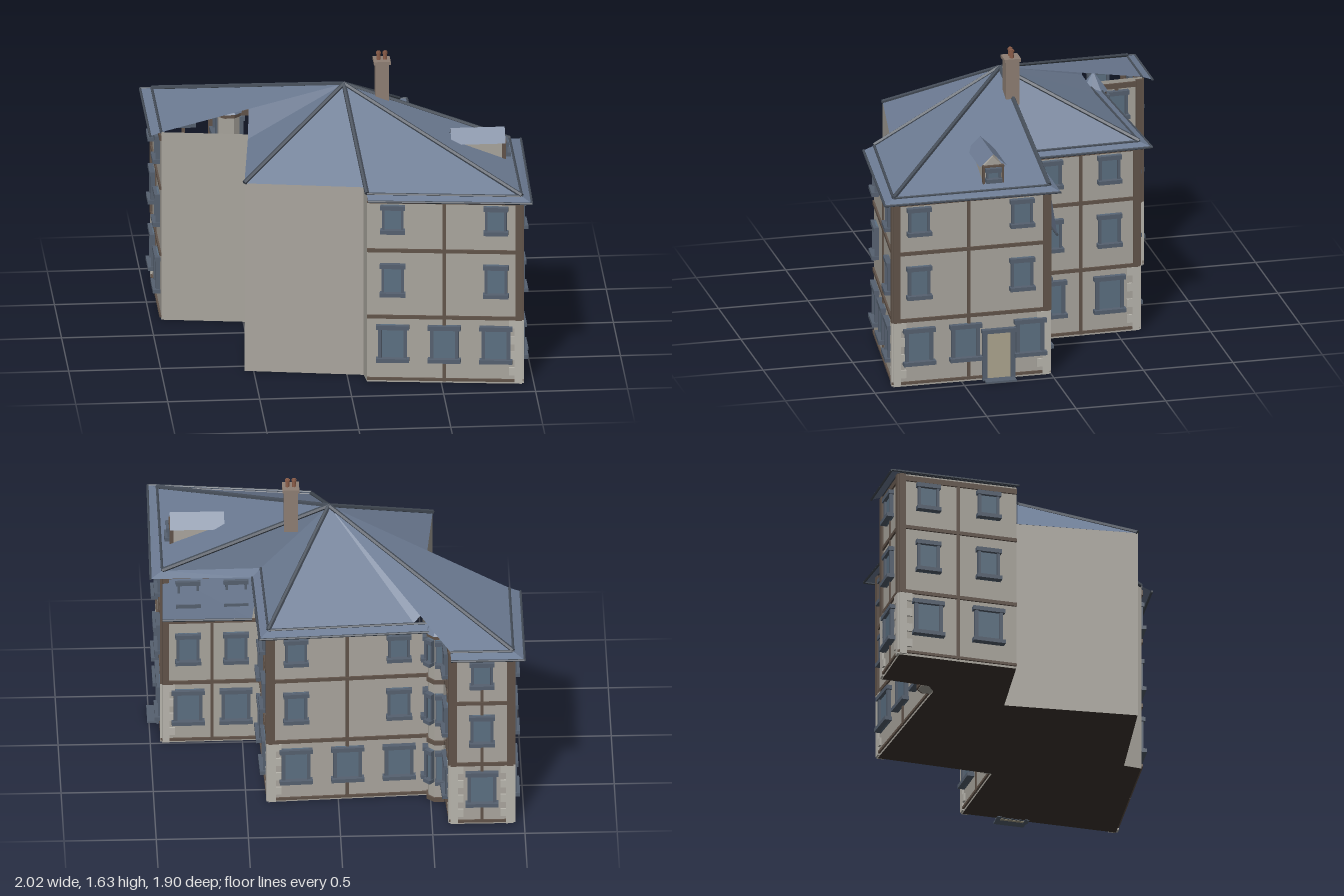
import * as THREE from 'three';

const mat = (color, extra = {}) => new THREE.MeshStandardMaterial({ color, flatShading: true, ...extra });
const M = {
  wall: mat(0xaaa69e),
  quoin: mat(0xb9b6ae),
  timber: mat(0x62544a),
  floor: mat(0x3e3630, { side: THREE.DoubleSide }),
  roof: mat(0x6d7c94, { side: THREE.DoubleSide }),
  trim: mat(0x454d58),
  frame: mat(0x566170),
  glass: mat(0x5c7082),
  door: mat(0xaea68f),
  brick: mat(0x8f7f74),
  pot: mat(0x8a5c48),
};

function add(parent, geo, material, name, x = 0, y = 0, z = 0) {
  const m = new THREE.Mesh(geo, material);
  m.name = name;
  m.position.set(x, y, z);
  parent.add(m);
  return m;
}
const box = (parent, material, name, w, h, d, x, y, z) =>
  add(parent, new THREE.BoxGeometry(w, h, d), material, name, x, y, z);

// flat polygon as a triangle fan
function panel(parent, name, pts, material) {
  const v = [];
  for (let i = 1; i < pts.length - 1; i++) v.push(...pts[0], ...pts[i], ...pts[i + 1]);
  const g = new THREE.BufferGeometry();
  g.setAttribute('position', new THREE.Float32BufferAttribute(v, 3));
  g.computeVertexNormals();
  return add(parent, g, material, name);
}

// thin rod between two points
function rod(parent, name, a, b, r, material = M.trim) {
  const p = new THREE.Vector3(...a), q = new THREE.Vector3(...b), d = q.clone().sub(p);
  const m = add(parent, new THREE.CylinderGeometry(r, r, d.length(), 6), material, name);
  m.position.copy(p).add(q).multiplyScalar(0.5);
  m.quaternion.setFromUnitVectors(new THREE.Vector3(0, 1, 0), d.normalize());
}

// framed window with lintel and sill, base at y0, wall plane at z = 0
function windowUnit(parent, x, y0, w, h) {
  const g = new THREE.Group();
  g.name = 'window';
  g.position.set(x, y0, 0);
  parent.add(g);
  box(g, M.glass, 'glass', w * 0.84, h, 0.014, 0, h / 2, 0.004);
  for (const s of [-1, 1]) box(g, M.frame, 'jamb', w * 0.12, h, 0.045, s * w * 0.43, h / 2, 0);
  box(g, M.frame, 'lintel', w * 1.12, 0.024, 0.06, 0, h - 0.012, 0);
  box(g, M.frame, 'sill', w * 1.12, 0.022, 0.08, 0, 0.011, 0);
}

const TOP = 1.09;
// timbered wall from p to q (outside on the right hand), u = window centres along the wall
function facade(root, name, p, q, { ground, upper, posts = [], quoins = [1, 1] }) {
  const dx = q[0] - p[0], dz = q[1] - p[1], L = Math.hypot(dx, dz);
  const g = new THREE.Group();
  g.name = name;
  g.position.set(p[0], 0, p[1]);
  g.rotation.y = Math.atan2(-dz, dx);
  root.add(g);
  for (const [y, h] of [[0.02, 0.015], [0.38, 0.02], [0.765, 0.02], [1.055, 0.03]])
    box(g, M.timber, 'beam', L, h, 0.02, L / 2, y, 0);
  for (const u of posts) box(g, M.timber, 'post', 0.018, 1.05, 0.016, u, 0.535, 0);
  for (const u of ground) windowUnit(g, u, 0.125, 0.16, 0.21);
  for (const u of upper) {
    windowUnit(g, u, 0.505, 0.125, 0.185);
    windowUnit(g, u, 0.87, 0.12, 0.16);
  }
  // corner posts above alternating corner stones
  quoins.forEach((on, end) => {
    if (!on) return;
    const s = end ? -1 : 1, x0 = end ? L : 0;
    box(g, M.timber, 'cornerPost', 0.035, 0.71, 0.024, x0 + s * 0.0175, 0.725, 0);
    for (let i = 0; i < 8; i++) {
      const w = i % 2 ? 0.07 : 0.04;
      box(g, M.quoin, 'cornerStone', w, 0.0455, 0.022, x0 + s * w / 2, 0.028 + i * 0.0455, 0);
    }
  });
  return g;
}

export function createModel() {
  const root = new THREE.Group();
  root.name = 'house';

  // footprint corners [x, z], anticlockwise from above
  const A = [-0.94, -0.23], B = [-0.47, -0.16], C = [-0.55, 0.57], D = [0.09, 0.68], E = [0.1, 0.78],
    F = [0.935, 0.88], G = [0.935, 0.01], H = [0.4, 0.02], I = [0.38, -0.63], J = [-0.53, -0.58],
    K = [-0.585, -0.62], L = [-0.6, -0.89], N = [-0.94, -0.89];
  const plan = [A, B, C, D, E, F, G, H, I, J, K, L, N];
  const at = (p, y = TOP) => [p[0], y, p[1]];

  const walls = new THREE.Group();
  walls.name = 'walls';
  root.add(walls);
  plan.forEach((p, i) => {
    const q = plan[(i + 1) % plan.length];
    panel(walls, 'wall', [at(p, 0), at(q, 0), at(q), at(p)], M.wall);
  });
  const base = new THREE.ShapeGeometry(new THREE.Shape(plan.map(([x, z]) => new THREE.Vector2(x, z))));
  add(root, base.rotateX(Math.PI / 2), M.floor, 'floor', 0, 0.004, 0);

  facade(root, 'frontFacade', E, F, { ground: [0.14, 0.42, 0.7], upper: [0.14, 0.7], posts: [0.42], quoins: [0, 1] });
  const side = facade(root, 'doorFacade', F, G, { ground: [0.14, 0.4, 0.76], upper: [0.14, 0.715], posts: [0.42] });
  facade(root, 'innerFacade', G, H, { ground: [0.14, 0.4], upper: [0.14, 0.4], posts: [0.27], quoins: [1, 0] });
  facade(root, 'courtFacade', H, I, { ground: [0.15, 0.48], upper: [0.15, 0.48], posts: [0.32] });
  facade(root, 'backFacade', I, J, { ground: [0.15, 0.43, 0.71], upper: [0.15, 0.71], posts: [0.43], quoins: [1, 0] });
  facade(root, 'wingInnerFacade', K, L, { ground: [0.125], upper: [0.125], posts: [0.125], quoins: [0, 1] });
  facade(root, 'wingBackFacade', L, N, { ground: [0.17], upper: [0.17], posts: [0.17] });
  facade(root, 'wingSideFacade', N, A, { ground: [0.16, 0.5], upper: [0.16, 0.5], posts: [0.33], quoins: [1, 0] });

  // door
  box(side, M.door, 'door', 0.13, 0.27, 0.02, 0.585, 0.135, 0.006);
  for (const x of [0.507, 0.663]) box(side, M.frame, 'doorJamb', 0.025, 0.28, 0.05, x, 0.14, 0);
  box(side, M.frame, 'doorLintel', 0.19, 0.022, 0.06, 0.585, 0.282, 0);
  box(side, M.frame, 'doorStep', 0.17, 0.01, 0.09, 0.585, 0.007, 0.03);

  // corner turret
  const turret = new THREE.Group();
  turret.name = 'turret';
  turret.position.set(-0.545, 0, -0.605);
  root.add(turret);
  const oct = (r0, r1, h) => new THREE.CylinderGeometry(r0, r1, h, 8).rotateY(Math.PI / 8);
  add(turret, oct(0.062, 0.062, 1.06), M.wall, 'turretWall', 0, 0.535, 0);
  for (const y of [0.02, 0.38, 0.765, 1.05]) add(turret, oct(0.072, 0.072, 0.025), M.timber, 'turretBand', 0, y, 0);
  add(turret, oct(0.005, 0.08, 0.1), M.roof, 'turretRoof', 0, 1.11, 0);
  for (const a of [0.5, 0.75, 1]) for (const [y, h] of [[0.13, 0.2], [0.505, 0.185], [0.87, 0.16]]) {
    const f = new THREE.Group();
    f.name = 'turretFace';
    f.rotation.y = a * Math.PI;
    f.position.set(Math.sin(a * Math.PI) * 0.058, 0, Math.cos(a * Math.PI) * 0.058);
    turret.add(f);
    windowUnit(f, 0, y, 0.042, h);
  }

  // roof planes rising to one peak
  const roof = new THREE.Group();
  roof.name = 'roof';
  root.add(roof);
  const peak = [0.03, 1.455, 0.06];
  const P = [-0.47, 1.262, -0.16], P0 = [-0.48, TOP, -0.09];
  const Q = [-0.6, 1.21, -0.57], Q0 = [-0.41, TOP, -0.58];
  const faces = [
    [at(N), at(A), P], [P, P0], [P0, at(C)], [at(C), at(D)], [at(D), at(E)], [at(E), at(F)],
    [at(F), at(G)], [at(G), at(H)], [at(H), at(I)], [at(I), Q0], [Q0, [-0.5, 1.17, -0.53], Q], [Q, at(L), at(N)],
  ];
  for (const f of faces) panel(roof, 'roofPlane', [peak, ...f], M.roof);
  for (const p of [C, E, F, G, I, N]) rod(roof, 'ridge', peak, at(p, TOP + 0.003), 0.013);

  // sloping eaves with gutters: inner and outer lines
  const eaves = [
    [[E, F, G], [[0.1, 0.84], [0.985, 0.94], [1, -0.04]]],
    [[H, I, J], [[0.45, -0.04], [0.43, -0.69], [-0.5, -0.64]]],
    [[L, N, A], [[-0.6, -0.95], [-1, -0.95], [-1, -0.23]]],
  ];
  for (const [inner, outer] of eaves) for (let i = 0; i < 2; i++) {
    const [a, b, c, d] = [at(inner[i]), at(inner[i + 1]), at(outer[i + 1], 1.068), at(outer[i], 1.068)];
    panel(roof, 'eave', [a, b, c, d], M.roof);
    rod(roof, 'eaveLine', a, b, 0.008);
    rod(roof, 'gutter', d, c, 0.007);
  }
  // steep hanging eave over the inner corner
  panel(roof, 'hangingEave', [at(G), at(H), [0.45, 0.8, -0.035], [0.935, 0.8, -0.035]], M.roof);
  rod(roof, 'hangingGutter', [0.45, 0.8, -0.035], [0.935, 0.8, -0.035], 0.008);
  panel(roof, 'eaveEnd', [at(G), [1, 1.068, -0.04], [0.45, 1.068, -0.04], at(H)], M.roof);

  // chimney
  const chimney = new THREE.Group();
  chimney.name = 'chimney';
  chimney.position.set(0.237, 0, 0.05);
  root.add(chimney);
  box(chimney, M.brick, 'stack', 0.075, 0.26, 0.075, 0, 1.45, 0);
  box(chimney, M.brick, 'cap', 0.092, 0.018, 0.092, 0, 1.579, 0);
  for (const x of [-0.018, 0.018]) {
    add(chimney, new THREE.CylinderGeometry(0.01, 0.012, 0.05, 10), M.pot, 'pot', x, 1.61, 0);
    add(chimney, new THREE.CylinderGeometry(0.014, 0.014, 0.01, 10), M.pot, 'potRim', x, 1.625, 0);
  }

  // dormer
  const dormer = new THREE.Group();
  dormer.name = 'dormer';
  dormer.position.set(0.875, 0, 0.31);
  root.add(dormer);
  const gable = new THREE.Shape([[-0.055, 1.11], [0.055, 1.11], [0.055, 1.205], [0, 1.262], [-0.055, 1.205]]
    .map(([x, y]) => new THREE.Vector2(x, y)));
  const body = new THREE.ExtrudeGeometry(gable, { depth: 0.26, bevelEnabled: false });
  add(dormer, body.translate(0, 0, -0.26).rotateY(Math.PI / 2), M.wall, 'dormerBody');
  for (const s of [-1, 1]) {
    panel(dormer, 'dormerRoof', [[-0.285, 1.277, 0], [0.01, 1.277, 0], [0.01, 1.207, s * 0.075], [-0.285, 1.207, s * 0.075]], M.roof);
    box(dormer, M.timber, 'dormerPost', 0.022, 0.1, 0.012, 0.002, 1.16, s * 0.053);
  }
  box(dormer, M.timber, 'dormerBeam', 0.022, 0.01, 0.12, 0.004, 1.208, 0);
  const face = new THREE.Group();
  face.name = 'dormerFront';
  face.rotation.y = Math.PI / 2;
  dormer.add(face);
  windowUnit(face, 0, 1.12, 0.08, 0.08);
  return root;
}
